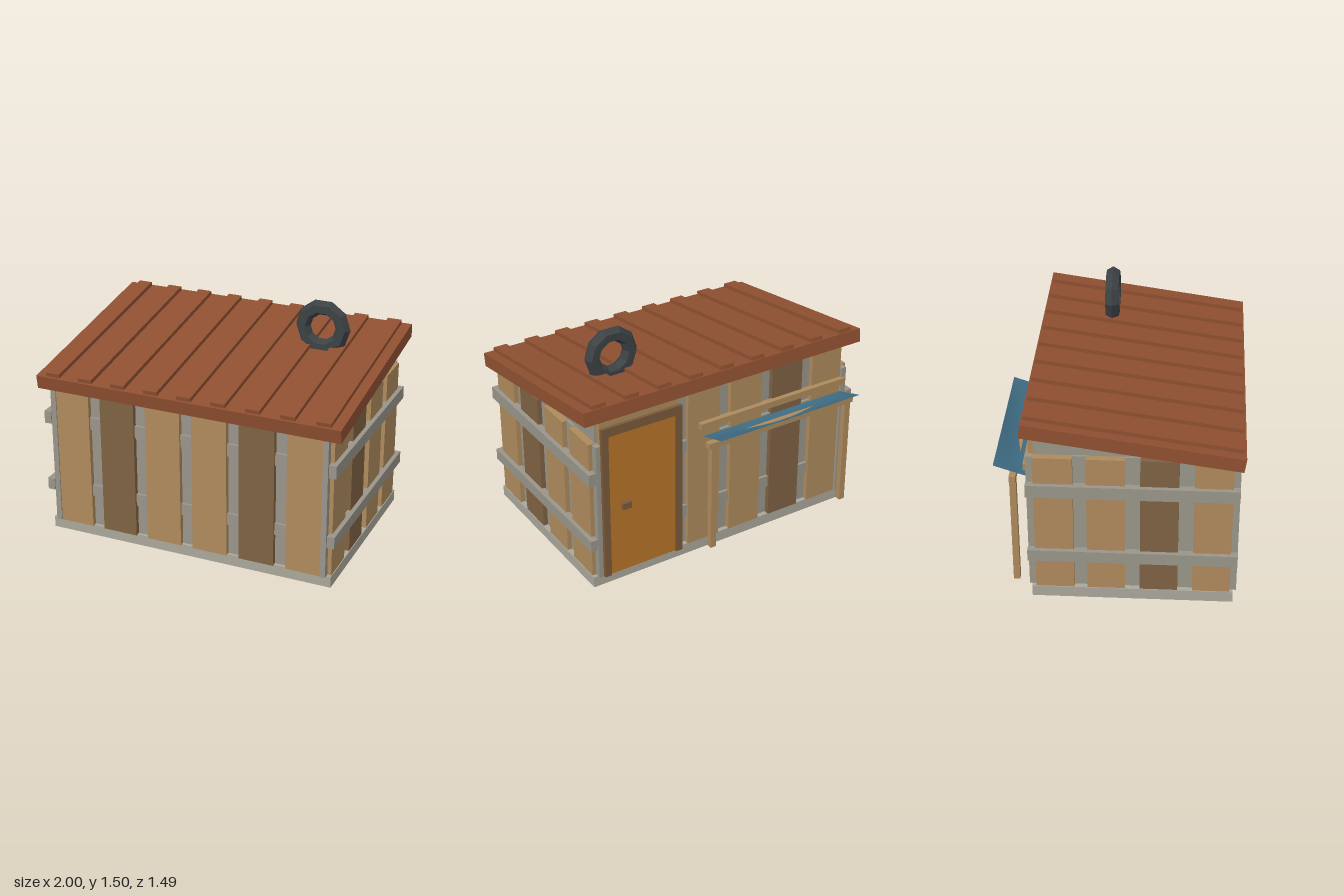
import * as THREE from 'three';

const mat = (color) => new THREE.MeshStandardMaterial({ color });
const M = {
  slab: mat(0xaaa79b), grey: mat(0x99958a), tan: mat(0xae8a5c), dark: mat(0x7f6243),
  roof: mat(0x8f5031), door: mat(0xb8742a), frame: mat(0x7a5a3a), blue: mat(0x3f6d84), rubber: mat(0x3c4144),
};
M.blue.side = THREE.DoubleSide;
M.rubber.flatShading = true;

// Box given by its extents on each axis
function box(parent, name, m, [x0, x1], [y0, y1], [z0, z1]) {
  const mesh = new THREE.Mesh(new THREE.BoxGeometry(x1 - x0, y1 - y0, z1 - z0), m);
  mesh.position.set((x0 + x1) / 2, (y0 + y1) / 2, (z0 + z1) / 2);
  mesh.name = name;
  parent.add(mesh);
  return mesh;
}

function group(parent, name) {
  const g = new THREE.Group();
  g.name = name;
  parent.add(g);
  return g;
}

const railHeights = [[0.28, 0.357], [0.745, 0.827]];

function buildWalls(root) {
  const walls = group(root, 'walls');

  // Core with a sloping top under the roof, extruded across x
  const profile = new THREE.Shape([
    [-0.68, 0.07], [0.5, 0.07], [0.5, 1.175], [-0.68, 1.0],
  ].map(([a, b]) => new THREE.Vector2(a, b)));
  const core = new THREE.Mesh(new THREE.ExtrudeGeometry(profile, { depth: 1.8, bevelEnabled: false }), M.grey);
  core.rotation.y = Math.PI / 2;
  core.position.x = -0.9;
  core.name = 'wallCore';
  walls.add(core);

  // Front and back boards
  const boards = [
    [-0.885, -0.66, M.tan], [-0.58, -0.35, M.dark], [-0.27, -0.04, M.tan],
    [0.04, 0.27, M.tan], [0.35, 0.58, M.dark], [0.66, 0.885, M.tan],
  ];
  boards.forEach(([a, b, m], i) => {
    box(walls, 'frontBoard', m, [a, b], [0.07, 1.0], [0.67, 0.712]);
    if (i < 4) box(walls, 'backBoard', m, [a, b], [0.07, 1.17], [-0.532, -0.49]);
  });
  box(walls, 'doorwayBoard', M.tan, [0.35, 0.885], [0.07, 1.17], [-0.53, -0.49]);

  // Rails showing in the gaps between boards
  for (const y of railHeights) {
    box(walls, 'frontRail', M.grey, [-0.88, 0.88], y, [0.67, 0.698]);
    box(walls, 'backRail', M.grey, [-0.88, 0.34], y, [-0.52, -0.49]);
  }

  // Side boards, battens, outer rails and corner posts
  const sideBoards = [[0.45, 0.68, M.tan], [0.13, 0.36, M.dark], [-0.19, 0.04, M.tan], [-0.505, -0.27, M.tan]];
  const battens = [[0.36, 0.45], [0.04, 0.13], [-0.27, -0.19]];
  for (const s of [-1, 1]) {
    const span = (a, b) => (s > 0 ? [a, b] : [-b, -a]);
    for (const [a, b, m] of sideBoards) box(walls, 'sideBoard', m, span(0.89, 0.945), [0.07, 1.005], [a, b]);
    for (const z of battens) box(walls, 'sideBatten', M.grey, span(0.89, 0.915), [0.07, 1.008], z);
    for (const y of railHeights) box(walls, 'sideRail', M.grey, span(0.925, 0.972), y, [-0.55, 0.72]);
    box(walls, 'frontCornerPost', M.grey, span(0.885, 0.92), [0.07, 1.0], [0.67, 0.72]);
    box(walls, 'backCornerPost', M.grey, span(0.885, 0.92), [0.07, 1.0], [-0.548, -0.49]);
  }
}

function buildRoof(root) {
  const roof = group(root, 'roof');
  roof.position.set(0, 1.122, 0.086);
  roof.rotation.x = 0.1445;
  box(roof, 'roofPanel', M.roof, [-1, 1], [-0.044, 0.044], [-0.66, 0.66]);
  for (let i = 0; i < 9; i++) {
    const x = -0.89 + i * 0.2225;
    box(roof, 'roofRib', M.roof, [x - 0.046, x + 0.046], [0.03, 0.07], [-0.65, 0.645]);
  }
}

function buildDoor(root) {
  const door = group(root, 'door');
  box(door, 'doorPanel', M.door, [0.37, 0.86], [0.075, 1.065], [-0.556, -0.52]);
  box(door, 'leftJamb', M.frame, [0.845, 0.89], [0.075, 1.12], [-0.57, -0.548]);
  box(door, 'rightJamb', M.frame, [0.335, 0.38], [0.075, 1.12], [-0.57, -0.548]);
  box(door, 'doorHeader', M.frame, [0.38, 0.845], [1.06, 1.12], [-0.57, -0.548]);
  box(door, 'doorHandle', M.frame, [0.7, 0.76], [0.528, 0.57], [-0.58, -0.55]);
}

function buildAwning(root) {
  const awning = group(root, 'awning');
  box(awning, 'wallLedger', M.tan, [-0.905, 0.195], [0.892, 0.935], [-0.565, -0.525]);
  box(awning, 'awningBeam', M.tan, [-0.905, 0.195], [0.8, 0.84], [-0.652, -0.612]);
  for (const x of [-0.865, 0.155]) box(awning, 'awningPost', M.tan, [x - 0.02, x + 0.02], [0.072, 0.8], [-0.652, -0.612]);

  // Cloth sheet sagging in the middle
  const geo = new THREE.PlaneGeometry(1, 1, 14, 6);
  const p = geo.attributes.position;
  for (let i = 0; i < p.count; i++) {
    const u = p.getX(i) + 0.5;
    const v = p.getY(i) + 0.5;
    const sag = 0.029 * Math.sin(Math.PI * u) * Math.sin(Math.PI * v);
    p.setXYZ(i, -0.88 + 1.05 * u, 0.835 + 0.067 * v - sag, -0.545 - 0.2 * v);
  }
  geo.computeVertexNormals();
  const sheet = new THREE.Mesh(geo, M.blue);
  sheet.name = 'awningSheet';
  awning.add(sheet);
}

export function createModel() {
  const root = new THREE.Group();
  root.name = 'shed';
  box(root, 'foundation', M.slab, [-0.95, 0.95], [0, 0.073], [-0.53, 0.7]);
  buildWalls(root);
  buildRoof(root);
  buildDoor(root);
  buildAwning(root);

  // Old tyre standing on the roof
  const tyre = new THREE.Mesh(new THREE.TorusGeometry(0.131, 0.049, 6, 10), M.rubber);
  tyre.position.set(0.56, 1.33, -0.122);
  tyre.name = 'tyre';
  root.add(tyre);
  return root;
}
